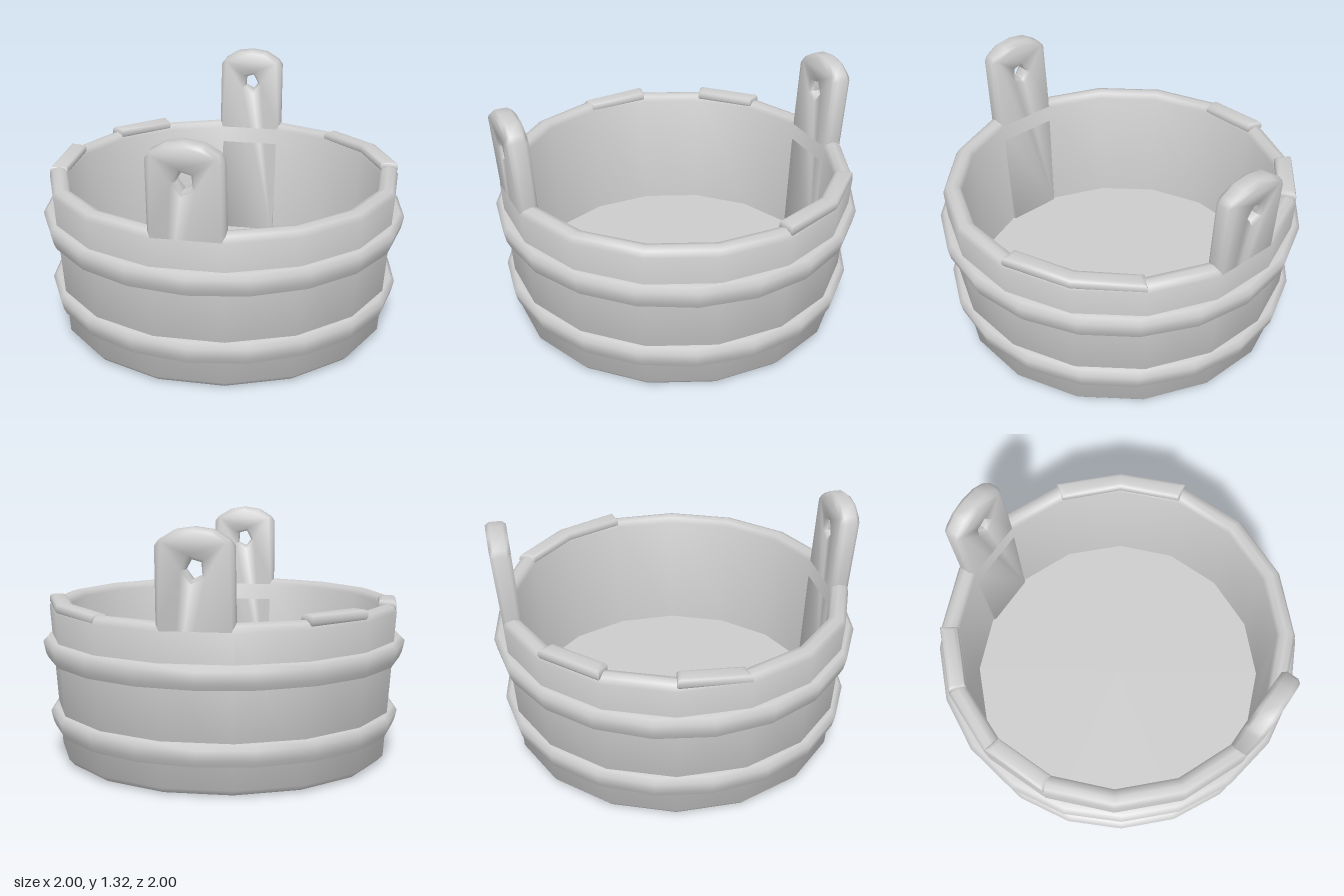
import * as THREE from 'three';
import { toCreasedNormals } from 'three/addons/utils/BufferGeometryUtils.js';

const SIDES = 16;
const HOOP_SIDES = 20;
const STEP = (Math.PI * 2) / SIDES;
const material = new THREE.MeshStandardMaterial({ color: 0xcccccc });

function addMesh(parent, name, geometry, crease) {
  const mesh = new THREE.Mesh(toCreasedNormals(geometry, crease), material);
  mesh.name = name;
  parent.add(mesh);
  return mesh;
}

// Closed ring from a cross-section of [radius, y] pairs, running up the outside and down the inside
function ring(profile, sides, phase) {
  const points = [...profile, profile[0]].map(([r, y]) => new THREE.Vector2(r, y));
  return new THREE.LatheGeometry(points, sides, phase);
}

// Band with a softly rounded face, slightly wider at its upper edge
function hoop(radius, y0, y1) {
  const inner = radius - 0.1;
  return ring([
    [inner, y0], [radius - 0.028, y0], [radius - 0.014, y0 + 0.03],
    [radius, y1 - 0.025], [radius - 0.025, y1], [inner, y1],
  ], HOOP_SIDES, 0);
}

// Rounded block standing a little above the rim over a run of facets, sinking by drop towards its end
function raisedStave(firstFacet, facets, drop) {
  const start = (firstFacet + 0.5) * STEP;
  const corner = (r, i) => {
    const a = start + i * STEP;
    return new THREE.Vector2(r * Math.sin(a), -r * Math.cos(a));
  };
  const points = [];
  for (let i = 0; i <= facets; i++) points.push(corner(0.965, i));
  for (let i = facets; i >= 0; i--) points.push(corner(0.868, i));
  const geometry = new THREE.ExtrudeGeometry(new THREE.Shape(points), {
    depth: 0.02, bevelEnabled: true, bevelThickness: 0.02,
    bevelSize: 0.025, bevelOffset: -0.025, bevelSegments: 2,
  });
  geometry.rotateX(-Math.PI / 2).translate(0, 0.852, 0);
  const p = geometry.attributes.position;
  for (let i = 0; i < p.count; i++) {
    const angle = (Math.atan2(p.getX(i), p.getZ(i)) + Math.PI * 2) % (Math.PI * 2);
    p.setY(i, p.getY(i) - (drop * (angle - start)) / (facets * STEP));
  }
  return geometry;
}

// Pierced stave from floor to handle tip, its outer face leaning more than its inner face
function handleStave() {
  const outline = [
    [-0.165, 0.13], [0.165, 0.13], [0.19, 0.86], [0.187, 1.23], [0.165, 1.26], [0.09, 1.305],
    [0, 1.318], [-0.09, 1.305], [-0.165, 1.26], [-0.187, 1.23], [-0.19, 0.86],
  ];
  const shape = new THREE.Shape(outline.map(([x, y]) => new THREE.Vector2(x, y)));
  const hole = [];
  for (let i = 0; i < 5; i++) {
    const a = 0.7 - i * Math.PI * 0.4;
    hole.push(new THREE.Vector2(0.045 * Math.cos(a), 1.122 + 0.052 * Math.sin(a)));
  }
  shape.holes.push(new THREE.Path(hole));
  const geometry = new THREE.ExtrudeGeometry(shape, {
    depth: 0.6, bevelEnabled: true, bevelThickness: 0.2,
    bevelSize: 0.015, bevelOffset: -0.015, bevelSegments: 1,
  });
  // Remap the unit-deep slab between the two leaning faces
  const p = geometry.attributes.position;
  for (let i = 0; i < p.count; i++) {
    const y = p.getY(i);
    const inner = 0.802 + 0.058 * y;
    const outer = 0.88 + 0.082 * y;
    p.setZ(i, THREE.MathUtils.lerp(inner, outer, p.getZ(i) + 0.2));
  }
  return geometry;
}

export function createModel() {
  const tub = new THREE.Group();
  tub.name = 'woodenTub';

  // Flared wall with a rounded rim and foot
  addMesh(tub, 'wall', ring([
    [0.822, 0.03], [0.85, 0], [0.885, 0.01], [0.912, 0.04],
    [0.967, 0.825], [0.95, 0.855], [0.915, 0.866], [0.882, 0.857],
    [0.865, 0.83], [0.838, 0.15],
  ], SIDES, STEP / 2), 1.1);

  // Floor set above the foot
  addMesh(tub, 'floor',
    new THREE.CylinderGeometry(0.85, 0.85, 0.02, SIDES, 1, false, STEP / 2)
      .translate(0, 0.157, 0), 0.6);

  // Hoops
  addMesh(tub, 'lowerHoop', hoop(0.968, 0.165, 0.28), 1.1);
  addMesh(tub, 'upperHoop', hoop(1.0, 0.55, 0.67), 1.1);

  // Uneven rim: [first facet, facet count, drop]
  for (const [first, count, drop] of [[4, 2, 0.02], [9, 1, 0], [11, 1, 0.022]]) {
    addMesh(tub, 'raisedStave', raisedStave(first, count, drop), 1.1);
  }

  // Handles at front and back
  addMesh(tub, 'frontHandle', handleStave(), 1.1);
  addMesh(tub, 'backHandle', handleStave(), 1.1).rotation.y = Math.PI;

  return tub;
}
